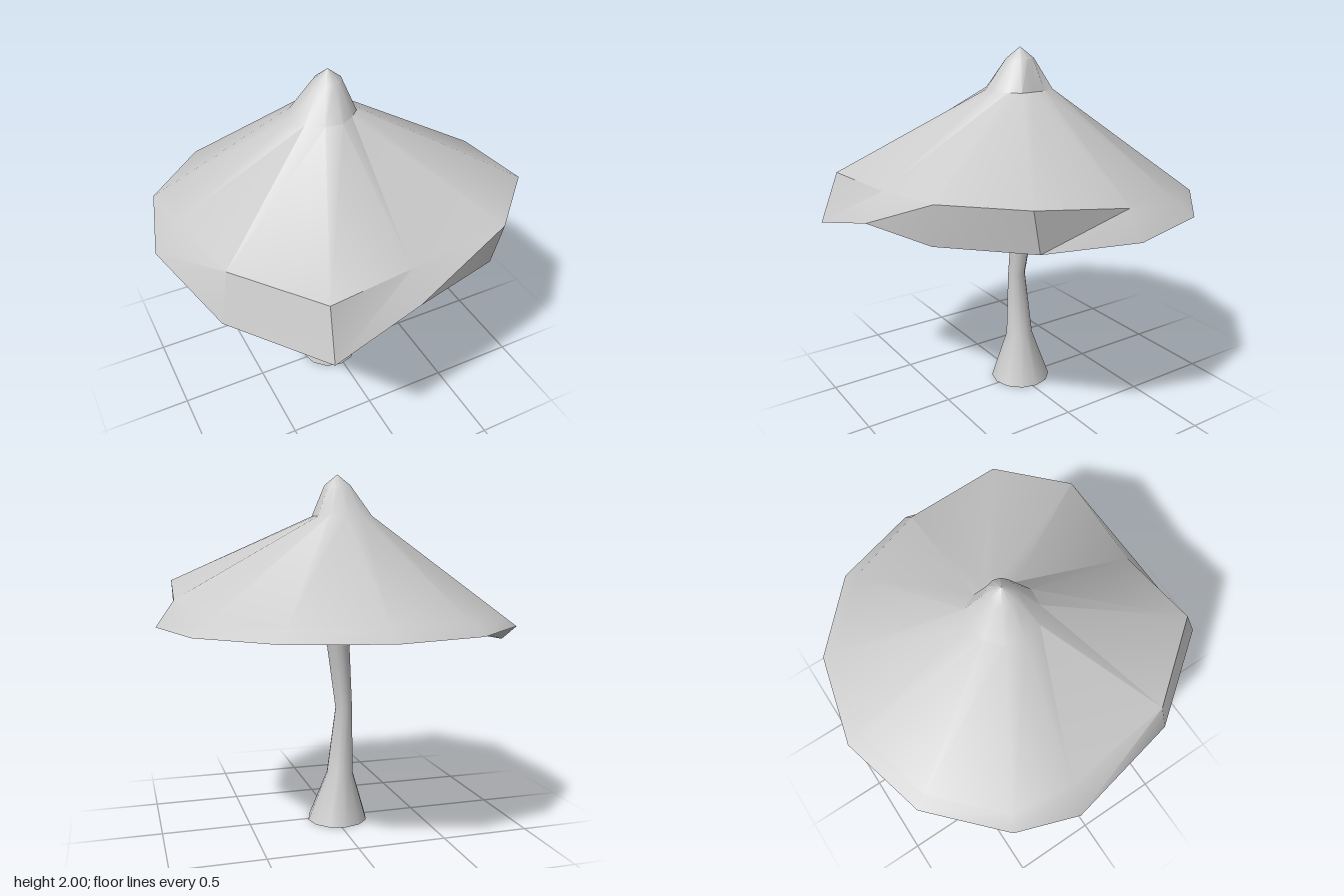
import * as THREE from 'three';
import { toCreasedNormals } from 'three/addons/utils/BufferGeometryUtils.js';

const SIDES = 12;
const CREASE = 0.6;

// A ring of points running from the front round to the left; r may vary per point.
function ring(cx, y, cz, r) {
  return Array.from({ length: SIDES }, (_, i) => {
    const a = (i / SIDES) * Math.PI * 2;
    const radius = Array.isArray(r) ? r[i] : r;
    return [cx + radius * Math.sin(a), y, cz + radius * Math.cos(a)];
  });
}

// Skin a stack of rings, skipping the triangles that collapse at a pole.
function loft(rings) {
  const positions = [];
  const same = (p, q) => p.every((v, k) => Math.abs(v - q[k]) < 1e-6);
  const triangle = (a, b, c) => {
    if (!same(a, b) && !same(b, c) && !same(c, a)) positions.push(...a, ...b, ...c);
  };
  for (let j = 0; j < rings.length - 1; j++) {
    for (let i = 0; i < SIDES; i++) {
      const n = (i + 1) % SIDES;
      const [a, b, c, d] = [rings[j][i], rings[j][n], rings[j + 1][n], rings[j + 1][i]];
      triangle(a, b, c);
      triangle(a, c, d);
    }
  }
  const geometry = new THREE.BufferGeometry();
  geometry.setAttribute('position', new THREE.Float32BufferAttribute(positions, 3));
  return toCreasedNormals(geometry, CREASE);
}

export function createModel() {
  const model = new THREE.Group();
  model.name = 'mushroom';
  const material = new THREE.MeshStandardMaterial({ color: 0xcccccc });

  const add = (name, rings) => {
    const mesh = new THREE.Mesh(loft(rings), material);
    mesh.name = name;
    model.add(mesh);
  };

  // Crooked stem, pinched in the middle and flared at both ends
  add('stem', [
    ring(-0.02, 0, -0.022, 0),
    ring(-0.02, 0, -0.022, 0.175),
    ring(-0.035, 0.28, -0.025, 0.078),
    ring(-0.06, 0.665, -0.022, 0.05),
    ring(-0.02, 1.03, -0.045, 0.066),
    ring(-0.015, 1.175, -0.035, 0.1),
    ring(-0.015, 1.42, -0.025, 0.16),
  ]);

  // Uneven cap edge: drooping at the front right, tucked under at the front left
  const rim = [
    [0, 1.175, 0.94], [0.49, 1.175, 0.82], [0.86, 1.175, 0.465], [1, 1.175, -0.03],
    [0.86, 1.175, -0.52], [0.49, 1.175, -0.87], [-0.02, 1.175, -1], [-0.52, 1.175, -0.87],
    [-0.89, 1.175, -0.52], [-1, 1.055, -0.16], [-0.86, 1.055, 0.51], [-0.49, 1.055, 1],
  ];
  const shoulder = [
    [0, 1.33, 0.84], [0.54, 1.395, 0.83], [0.87, 1.395, 0.51], [0.9, 1.32, -0.03],
    [0.79, 1.235, -0.48], [0.45, 1.235, -0.8], [-0.02, 1.235, -0.92], [-0.48, 1.235, -0.8],
    [-0.82, 1.235, -0.48], [-0.86, 1.24, -0.14], [-0.8, 1.335, 0.47], [-0.465, 1.335, 0.9],
  ];
  const neck = [0.175, 0.15, 0.15, 0.13, 0.15, 0.18, 0.18, 0.19, 0.2, 0.21, 0.21, 0.19];

  // Cap: hollow underside, rim, shoulder, then the knob at the top
  add('cap', [
    ring(-0.02, 1.41, -0.02, 0),
    rim,
    shoulder,
    ring(-0.02, 1.77, -0.02, neck),
    ring(-0.02, 1.94, -0.02, 0.075),
    ring(-0.02, 2, -0.02, 0),
  ]);

  return model;
}
